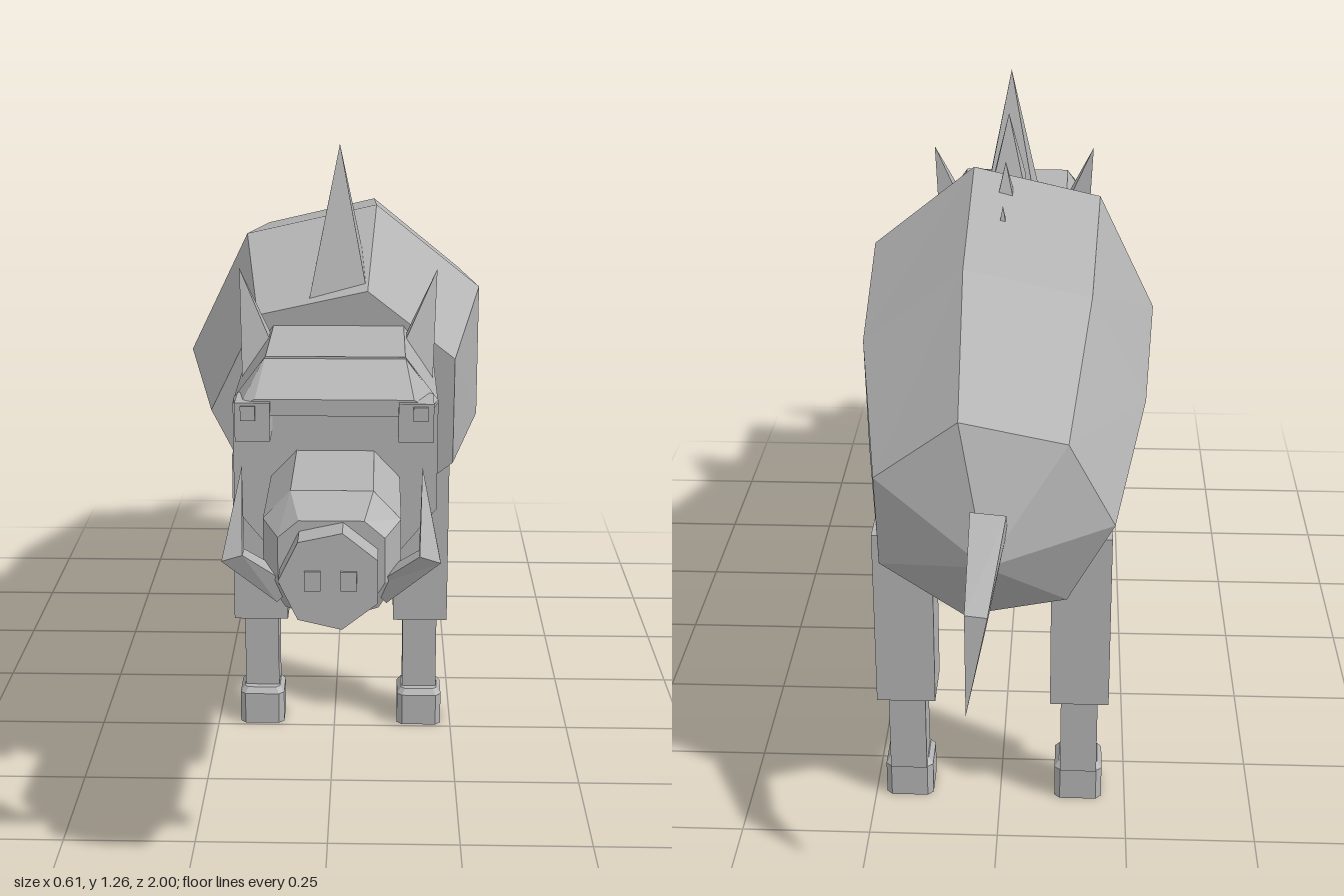
import * as THREE from 'three';

const CX = 0.013; // the animal's midline

export function createModel() {
  const group = new THREE.Group();
  const grey = new THREE.MeshStandardMaterial({ color: 0xb4b4b4, flatShading: true });
  grey.name = 'grey hide';

  const add = (name, geometry, x = 0, y = 0, z = 0) => {
    const mesh = new THREE.Mesh(geometry, grey);
    mesh.name = name;
    mesh.position.set(x, y, z);
    group.add(mesh);
    return mesh;
  };
  const box = (name, w, h, d, x, y, z) => add(name, new THREE.BoxGeometry(w, h, d), x, y, z);

  // Skin over rings that run counter-clockwise around the direction of travel
  const loft = (rings) => {
    const out = [];
    const tri = (a, b, c) => out.push(...a, ...b, ...c);
    const n = rings[0].length;
    for (let r = 0; r < rings.length - 1; r++) {
      for (let i = 0; i < n; i++) {
        const j = (i + 1) % n, a = rings[r], b = rings[r + 1];
        tri(a[i], a[j], b[j]);
        tri(a[i], b[j], b[i]);
      }
    }
    const first = rings[0], last = rings[rings.length - 1];
    for (let i = 1; i < n - 1; i++) {
      tri(first[0], first[i + 1], first[i]);
      tri(last[0], last[i], last[i + 1]);
    }
    const g = new THREE.BufferGeometry();
    g.setAttribute('position', new THREE.Float32BufferAttribute(out, 3));
    g.computeVertexNormals();
    return g;
  };

  // Eight-cornered section facing +z
  const section = (z, side, top, bottom, y0, y1, y2, y3) => [
    [CX + side, y1, z], [CX + side, y2, z], [CX + top, y3, z], [CX - top, y3, z],
    [CX - side, y2, z], [CX - side, y1, z], [CX - bottom, y0, z], [CX + bottom, y0, z],
  ];

  // Tapered four-sided horn along a path; ref sets its roll
  const horn = (path, radii, ref, flat = 1) => {
    const p = path.map((q) => new THREE.Vector3(...q));
    return loft(p.map((c, k) => {
      const d = p[Math.min(k + 1, p.length - 1)].clone().sub(p[Math.max(k - 1, 0)]).normalize();
      const u = ref.clone().cross(d).normalize();
      const v = d.clone().cross(u);
      return [0, 1, 2, 3].map((i) => {
        const a = Math.PI / 4 + i * Math.PI / 2;
        return c.clone().addScaledVector(u, Math.cos(a) * radii[k])
          .addScaledVector(v, Math.sin(a) * radii[k] * flat).toArray();
      });
    }));
  };
  const X = new THREE.Vector3(1, 0, 0), Z = new THREE.Vector3(0, 0, 1);

  // Seven-sided barrel body: z, centre height, radius, lean
  const bodyRings = [
    [-0.86, 0.66, 0, 0], [-0.73, 0.678, 0.228, -0.22], [-0.36, 0.76, 0.292, -0.14],
    [0.075, 0.793, 0.32, 0.01], [0.405, 0.75, 0.25, 0.1],
  ].map(([z, y, r, lean]) => Array.from({ length: 7 }, (_, i) => {
    const a = Math.PI + i * Math.PI * 2 / 7;
    const dy = Math.sin(a) * r;
    return [CX + Math.cos(a) * r, y + dy, z + dy * lean];
  }));
  add('body', loft(bodyRings));

  // Head, brow and snout
  add('head', loft([
    section(0.39, 0.185, 0.125, 0.12, 0.57, 0.64, 0.84, 0.925),
    section(0.67, 0.185, 0.125, 0.12, 0.56, 0.64, 0.84, 0.925),
  ]));
  add('brow', loft([
    section(0.665, 0.185, 0.125, 0.18, 0.835, 0.84, 0.845, 0.925),
    section(0.742, 0.168, 0.14, 0.165, 0.835, 0.84, 0.85, 0.865),
  ]));
  add('snout', loft([
    section(0.65, 0.117, 0.07, 0.08, 0.54, 0.6, 0.7, 0.75),
    section(0.9, 0.117, 0.07, 0.08, 0.54, 0.6, 0.7, 0.75),
    section(0.94, 0.09, 0.055, 0.06, 0.55, 0.6, 0.68, 0.71),
  ]));
  const nose = add('nose', new THREE.CylinderGeometry(0.087, 0.087, 0.08, 7), CX, 0.623, 0.955);
  nose.rotation.set(Math.PI / 2, 0.22, 0);

  for (const s of [1, -1]) {
    const x = (d) => CX + s * d;
    box('nostril', 0.027, 0.034, 0.01, x(0.03), 0.625, 0.995);
    box('eye', 0.062, 0.07, 0.075, x(0.144), 0.826, 0.715);
    box('pupil', 0.026, 0.026, 0.008, x(0.152), 0.843, 0.754);
    add('ear', horn([[x(0.14), 0.85, 0.482], [x(0.187), 1.043, 0.455]], [0.055, 0], Z));
    add('tusk', horn(
      [[x(0.085), 0.575, 0.9], [x(0.165), 0.65, 0.945], [x(0.152), 0.79, 0.89]],
      [0.028, 0.026, 0], Z));

    // Legs
    for (const z of [0.18, -0.595]) {
      const lx = x(0.169);
      box('upperLeg', 0.114, 0.365, 0.11, lx, 0.4225, z);
      box('lowerLeg', 0.072, 0.18, 0.075, lx, 0.16, z);
      const hoofRing = (y, h, c) => [
        [h, -c], [h, c], [c, h], [-c, h], [-h, c], [-h, -c], [-c, -h], [c, -h],
      ].map(([a, b]) => [lx + b, y, z + 0.015 + a]);
      add('hoof', loft([
        hoofRing(0, 0.047, 0.036), hoofRing(0.068, 0.047, 0.036), hoofRing(0.08, 0.038, 0.03),
      ]));
    }
  }

  // Spikes along the back: z, base, tip, width, length
  for (const [z, y0, y1, w, l] of [
    [0.315, 0.97, 1.26, 0.115, 0.185], [0.166, 1.05, 1.2, 0.07, 0.1],
    [0.0, 1.06, 1.14, 0.036, 0.055], [-0.145, 1.04, 1.09, 0.018, 0.026],
  ]) {
    const g = new THREE.ConeGeometry(Math.SQRT1_2, 1, 4);
    g.rotateY(Math.PI / 4);
    g.scale(w, y1 - y0, l);
    add('backSpike', g, CX, (y0 + y1) / 2, z);
  }

  // Hanging tail
  add('tail', horn(
    [[CX - 0.005, 0.74, -0.835], [CX + 0.01, 0.625, -0.965], [CX + 0.028, 0.447, -1.0]],
    [0.045, 0.028, 0], X));

  return group;
}
